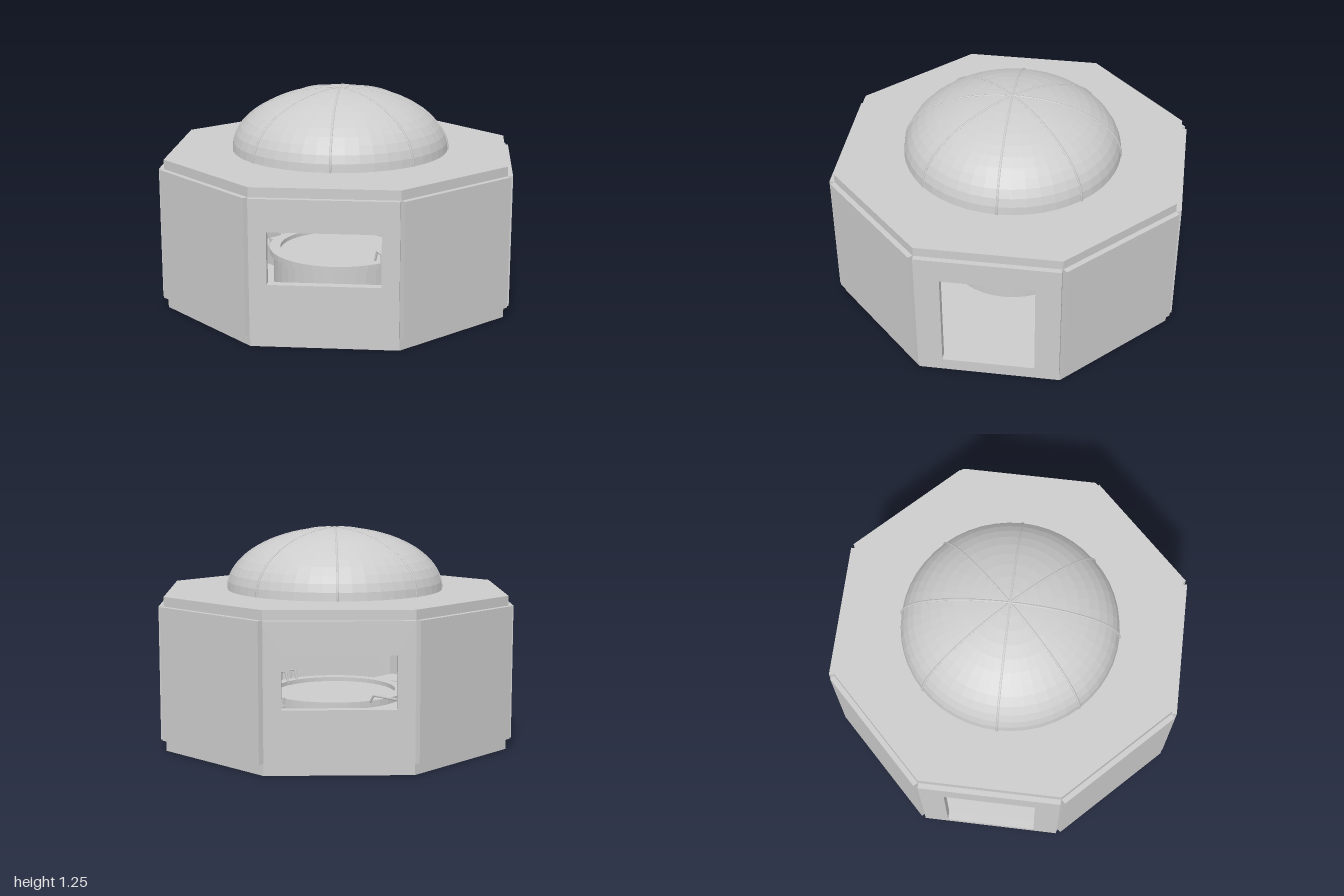
import * as THREE from 'three';

const stone = new THREE.MeshStandardMaterial({ color: 0xcccccc });
stone.name = 'pale grey';

export function createModel() {
  const model = new THREE.Group();
  model.name = 'domedPavilion';

  const add = (name, geometry, x = 0, y = 0, z = 0, parent = model) => {
    const mesh = new THREE.Mesh(geometry, stone);
    mesh.name = name;
    mesh.position.set(x, y, z);
    parent.add(mesh);
    return mesh;
  };
  const faceted = (geometry) => {
    const g = geometry.toNonIndexed();
    g.computeVertexNormals();
    return g;
  };
  // Box given by its lower and upper limits
  const block = (name, x0, x1, y0, y1, z0, z1, parent = model) =>
    add(name, new THREE.BoxGeometry(x1 - x0, y1 - y0, z1 - z0),
      (x0 + x1) / 2, (y0 + y1) / 2, (z0 + z1) / 2, parent);

  // Octagonal floor and roof slabs
  const slab = (name, y0, y1) => {
    const r = 0.97 / Math.cos(Math.PI / 8);
    add(name, faceted(new THREE.CylinderGeometry(r, r, y1 - y0, 8, 1, false, Math.PI / 8)), 0, (y0 + y1) / 2, 0);
  };
  slab('floorSlab', 0, 0.065);
  slab('roofSlab', 0.83, 0.885);

  // Eight wall panels: doors and windows alternate on the diagonals
  const rect = (path, w, y0, y1) => {
    path.moveTo(-w, y0);
    path.lineTo(w, y0);
    path.lineTo(w, y1);
    path.lineTo(-w, y1);
    path.closePath();
    return path;
  };
  for (let i = 0; i < 8; i++) {
    const shape = rect(new THREE.Shape(), 0.4, 0.065, 0.83);
    let name = 'plainWall';
    if (i % 4 === 1) {
      name = 'windowWall';
      shape.holes.push(rect(new THREE.Path(), 0.304, 0.36, 0.65));
    } else if (i % 4 === 3) {
      name = 'doorWall';
      shape.holes.push(rect(new THREE.Path(), 0.26, 0.105, 0.69));
    }
    const panel = new THREE.ExtrudeGeometry(shape, { depth: 0.05, bevelEnabled: false });
    panel.translate(0, 0, 0.95);
    add(name, panel).rotation.y = i * Math.PI / 4;
  }

  // Flattened dome with eight ribs
  const domeGeometry = new THREE.SphereGeometry(0.632, 48, 12, 0, Math.PI * 2, 0, Math.PI / 2);
  domeGeometry.scale(1, 0.36 / 0.632, 1);
  add('dome', faceted(domeGeometry), 0, 0.885, 0);
  for (let i = 0; i < 4; i++) {
    const rib = new THREE.TorusGeometry(0.632, 0.007, 6, 40, Math.PI);
    rib.scale(1, 0.36 / 0.632, 1);
    add('domeRib', rib, 0, 0.885, 0).rotation.y = i * Math.PI / 4;
  }

  // Round tub with an overhanging rim and a recessed water surface
  const profile = [[0.4, 0.065], [0.4, 0.245], [0.425, 0.245], [0.425, 0.28],
    [0.36, 0.28], [0.36, 0.255], [0, 0.255]].map(([x, y]) => new THREE.Vector2(x, y));
  add('tub', faceted(new THREE.LatheGeometry(profile, 40)));

  // Steps up to the tub
  [[-0.78, 0.125], [-0.63, 0.185], [-0.51, 0.235]].forEach(([x, top]) =>
    block('tubStep', x, -0.37, 0.065, top, -0.15, 0.15));

  // Step handrails and short grab rails on the opposite rim
  const rail = (name, points, z) => {
    const path = new THREE.CurvePath();
    const v = points.map(([x, y]) => new THREE.Vector3(x, y, z));
    for (let i = 1; i < v.length; i++) path.add(new THREE.LineCurve3(v[i - 1], v[i]));
    add(name, new THREE.TubeGeometry(path, 32, 0.007, 6));
  };
  for (const s of [-1, 1]) {
    rail('stepHandrail', [[-0.735, 0.12], [-0.735, 0.275], [-0.68, 0.315], [-0.43, 0.315], [-0.4, 0.27]], s * 0.13);
    rail('grabRail', [[0.42, 0.27], [0.42, 0.33], [0.38, 0.34], [0.36, 0.27]], s * 0.04);
  }

  // Slatted bench near the back wall
  const bench = new THREE.Group();
  bench.name = 'bench';
  model.add(bench);
  block('benchBase', -0.3, 0.3, 0.065, 0.21, -0.85, -0.745, bench);
  for (let i = 0; i < 3; i++) {
    const z = -0.76 - i * 0.04;
    block('seatSlat', -0.32, 0.32, 0.21, 0.23, z - 0.015, z + 0.015, bench);
    const y = 0.25 + i * 0.045;
    block('backSlat', -0.32, 0.32, y, y + 0.035, -0.745 + i * 0.003, -0.73 + i * 0.003, bench);
  }

  // Tall-backed seat against the front wall
  block('seatBase', -0.28, 0.28, 0.065, 0.22, 0.66, 0.885);
  block('seatBack', -0.28, 0.28, 0.22, 0.455, 0.845, 0.885);

  return model;
}
